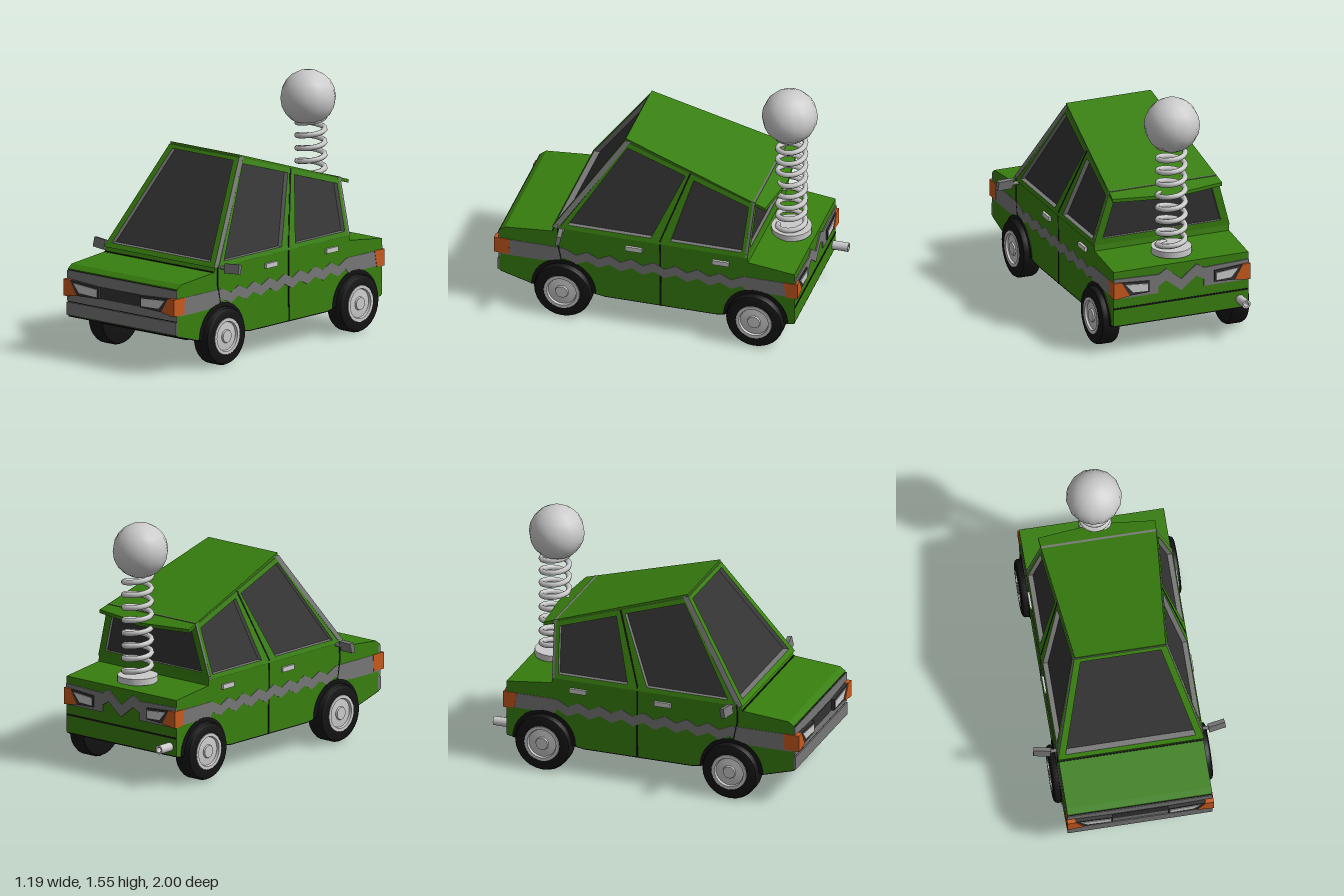
import * as THREE from 'three';
import { toCreasedNormals } from 'three/addons/utils/BufferGeometryUtils.js';
import { ConvexGeometry } from 'three/addons/geometries/ConvexGeometry.js';

const mat = (color) => new THREE.MeshStandardMaterial({ color });
const green = mat(0x387f0f), grey = mat(0x777777), glass = mat(0x333333);
const black = mat(0x141414), orange = mat(0xc85a1e), light = mat(0xcccccc);

export function createModel() {
  const car = new THREE.Group();
  car.name = 'car';

  function add(name, geo, material, x = 0, y = 0, z = 0) {
    const mesh = new THREE.Mesh(geo, material);
    mesh.name = name;
    mesh.position.set(x, y, z);
    car.add(mesh);
    return mesh;
  }
  const box = (name, m, w, h, d, x, y, z) => add(name, new THREE.BoxGeometry(w, h, d), m, x, y, z);
  const toShape = (pts) => new THREE.Shape(pts.map((p) => new THREE.Vector2(p[0], p[1])));

  // Flat outline with holes, given a thickness along +z
  function slab(outline, depth, holes = []) {
    const shape = outline instanceof THREE.Shape ? outline : toShape(outline);
    shape.holes = holes.map(toShape);
    return new THREE.ExtrudeGeometry(shape, { depth, bevelEnabled: false, curveSegments: 12 });
  }
  // Moves every vertex by a rule, then refreshes the normals
  function bend(geo, rule) {
    const p = geo.attributes.position, v = new THREE.Vector3();
    for (let i = 0; i < p.count; i++) {
      rule(v.fromBufferAttribute(p, i));
      p.setXYZ(i, v.x, v.y, v.z);
    }
    geo.computeVertexNormals();
    return geo;
  }
  // Side part drawn in (z, y), reaching from x0 outwards on both sides; lean follows the cabin wall
  function sides(name, outline, x0, t, m, holes = [], lean = 0) {
    for (const s of [1, -1]) {
      const geo = slab(outline, t, holes).rotateY(-Math.PI / 2).translate(s > 0 ? x0 + t : -x0, 0, 0);
      add(name, bend(geo, (v) => { v.x -= s * lean * (v.y - 0.63); }), m);
    }
  }
  // Mirrored left and right part drawn in (x, y) and placed at z
  function ends(name, outline, z, t, m) {
    for (const s of [1, -1])
      add(name, slab(outline.map(([x, y]) => [s * x, y]), t), m, 0, 0, z);
  }

  // Lower body with wheel arches
  const axles = [0.56, -0.655], W = 0.445, LEAN = 0.28;
  const body = new THREE.Shape();
  body.moveTo(0.965, 0.24);
  [[0.965, 0.53], [0.93, 0.555], [0.63, 0.58], [0.607, 0.63], [-0.6, 0.63], [-0.607, 0.575],
    [-0.9, 0.54], [-0.9, 0.19], [-0.85, 0.18]].forEach(([z, y]) => body.lineTo(z, y));
  body.absarc(axles[1], 0.18, 0.195, Math.PI, 0, true);
  body.lineTo(-0.4, 0.17);
  body.lineTo(0.3, 0.17);
  body.absarc(axles[0], 0.18, 0.195, Math.PI, 0, true);
  const bodyGeo = slab(body, 2 * W).rotateY(-Math.PI / 2).translate(W, 0, 0);
  add('body', bodyGeo, green);
  const under = add('underbody', bodyGeo, black, 0, -0.008, 0);
  under.scale.set(0.99, 1, 0.997);
  for (const z of axles) {
    box('innerWell', black, 0.7, 0.2, 0.42, 0, 0.27, z);
    const arch = new THREE.Shape();
    arch.absarc(z, 0.18, 0.205, 0, Math.PI, false);
    sides('wheelArch', arch, 0.34, 0.109, black);
  }

  // Cabin walls with window openings
  const frames = [green, grey];
  const frontWindow = [[0.535, 0.638], [0.2, 1.165], [-0.175, 1.05], [0.01, 0.638]];
  const rearWindow = [[-0.115, 0.638], [-0.23, 1.03], [-0.585, 0.92], [-0.565, 0.638]];
  sides('cabinSide', [[0.59, 0.61], [0.19, 1.195], [-0.61, 0.945], [-0.588, 0.61]],
    W - 0.035, 0.035, frames, [frontWindow, rearWindow], LEAN);
  const wind = slab([[-0.45, 0.61], [0.45, 0.61], [0.284, 1.205], [-0.284, 1.205]], 0.04,
    [[[-0.4, 0.638], [0.4, 0.638], [0.248, 1.185], [-0.248, 1.185]]]);
  add('windshieldFrame', bend(wind, (v) => { v.z += 0.58 - 0.695 * (v.y - 0.63); }), frames);
  const back = slab([[-0.45, 0.61], [0.45, 0.61], [0.354, 0.955], [-0.354, 0.955]], 0.025,
    [[[-0.39, 0.65], [0.39, 0.65], [0.315, 0.915], [-0.315, 0.915]]]);
  add('rearWindowFrame', bend(back, (v) => { v.z -= 0.605 + 0.06 * (v.y - 0.63); }), frames);

  // Dark glass block inside the frames
  const corners = [];
  for (const s of [1, -1])
    for (const [z, y] of [[0.59, 0.62], [0.19, 1.195], [-0.607, 0.94], [-0.585, 0.62]])
      corners.push(new THREE.Vector3(s * (W - 0.03 - LEAN * (y - 0.63)), y, z));
  add('windows', new ConvexGeometry(corners), glass);

  // Sloping roof with rear overhang
  const roof = slab([[-0.28, 0.215], [0.28, 0.215], [0.362, -0.69], [0, -0.73], [-0.362, -0.69]], 0.022);
  roof.rotateX(Math.PI / 2);
  add('roof', bend(roof, (v) => { v.y += 1.22 - 0.3226 * (0.21 - v.z); }), green);

  // Door gaps and handles
  sides('doorGap', [[-0.06, 0.165], [-0.048, 0.165], [-0.045, 0.63], [-0.055, 0.63]], W - 0.005, 0.007, black);
  sides('pillarGap', [[-0.055, 0.63], [-0.045, 0.63], [-0.2, 1.07], [-0.212, 1.07]], W - 0.005, 0.007, black, [], LEAN);
  sides('frontDoorGap', [[0.57, 0.385], [0.578, 0.385], [0.602, 0.5], [0.6, 0.62], [0.592, 0.62], [0.594, 0.5]],
    W - 0.005, 0.009, black);
  for (const z of [0.115, -0.435])
    for (const s of [1, -1]) box('doorHandle', light, 0.02, 0.03, 0.105, s * 0.45, 0.545, z);

  // Zigzag side stripe
  const top = [], bottom = [];
  for (let i = 0; i <= 16; i++) {
    const z = 0.55 - i * 0.07, y = i % 2 ? 0.4 : 0.435;
    top.push([z, y + 0.032]);
    bottom.unshift([z, y - 0.032]);
  }
  sides('sideStripe', [[0.95, 0.47], [0.6, 0.47], ...top, [-0.59, 0.47], [-0.86, 0.47], [-0.86, 0.375],
    [-0.59, 0.375], ...bottom, [0.6, 0.375], [0.7, 0.36], [0.95, 0.36]], W - 0.004, 0.007, grey);

  // Front: grille, bumper, lamps
  box('frontPanel', grey, 0.89, 0.19, 0.02, 0, 0.427, 0.963);
  box('bumperGap', black, 0.885, 0.02, 0.02, 0, 0.329, 0.958);
  box('frontBumper', grey, 0.89, 0.08, 0.03, 0, 0.285, 0.962);
  box('grille', glass, 0.36, 0.075, 0.012, 0, 0.42, 0.97);
  box('hoodGap', black, 0.88, 0.006, 0.01, 0, 0.522, 0.964);
  box('cowlGap', black, 0.88, 0.008, 0.01, 0, 0.581, 0.63);
  const lampFrame = [[0.17, 0.385], [0.345, 0.38], [0.405, 0.47], [0.17, 0.457]];
  const lamp = [[0.18, 0.395], [0.325, 0.4], [0.372, 0.455], [0.18, 0.442]];
  const corner = [[0.345, 0.38], [0.449, 0.368], [0.449, 0.472], [0.4, 0.472]];
  ends('headlightFrame', lampFrame, 0.95, 0.045, glass);
  ends('headlight', lamp, 0.96, 0.039, light);
  ends('frontIndicator', corner, 0.95, 0.05, orange);
  sides('frontIndicatorSide', [[0.905, 0.368], [1, 0.368], [1, 0.472], [0.9, 0.472]], W - 0.035, 0.04, orange);

  // Rear: band with a centre zigzag, lamps, bumper line
  const zig = [[-0.15, 0], [-0.1, 0.03], [-0.05, -0.01], [0, -0.05], [0.05, -0.01], [0.1, 0.03], [0.15, 0]];
  add('rearBand', slab([[-0.445, 0.365], [-0.15, 0.365], ...zig.map(([x, y]) => [x, 0.41 + y]),
    [0.15, 0.365], [0.445, 0.365], [0.445, 0.495],
    ...zig.map(([x, y]) => [x, 0.485 + y]).reverse(), [-0.445, 0.495]], 0.01), grey, 0, 0, -0.907);
  box('rearBumperGap', black, 0.885, 0.01, 0.01, 0, 0.3, -0.899);
  const shift = (pts) => pts.map(([x, y]) => [x < 0.3 ? x + 0.045 : x, y]);
  ends('tailLightFrame', shift(lampFrame), -0.915, 0.03, glass);
  ends('tailLight', shift(lamp), -0.92, 0.03, light);
  ends('rearIndicator', corner, -0.92, 0.03, orange);
  sides('rearIndicatorSide', [[-0.92, 0.37], [-0.85, 0.37], [-0.83, 0.472], [-0.92, 0.472]], W - 0.035, 0.04, orange);

  // Exhaust pipe
  const pipe = [[0.017, -0.1], [0.028, -0.1], [0.028, 0.1], [0.017, 0.1], [0.017, -0.1]];
  const lathe = (pts, n) => toCreasedNormals(
    new THREE.LatheGeometry(pts.map((p) => new THREE.Vector2(p[0], p[1])), n), 0.6);
  add('exhaust', lathe(pipe, 12).rotateX(Math.PI / 2), light, -0.39, 0.24, -0.9);

  // Wheels
  const tyre = lathe([[0, -0.062], [0.155, -0.062], [0.172, -0.055], [0.18, -0.04], [0.18, 0.04],
    [0.172, 0.055], [0.155, 0.062], [0.115, 0.062], [0.11, 0.04]], 28).rotateZ(-Math.PI / 2);
  const rim = lathe([[0.116, 0.04], [0.113, 0.064], [0.093, 0.064], [0.088, 0.05], [0.042, 0.054],
    [0.038, 0.064], [0, 0.064]], 28).rotateZ(-Math.PI / 2);
  for (const z of axles)
    for (const s of [1, -1]) {
      const turn = s > 0 ? 0 : Math.PI;
      add('tyre', tyre, black, s * 0.428, 0.18, z).rotation.y = turn;
      add('rim', rim, light, s * 0.428, 0.18, z).rotation.y = turn;
    }

  // Door mirrors
  for (const s of [1, -1]) {
    const arm = add('mirrorArm', new THREE.CylinderGeometry(0.012, 0.012, 0.07, 8), grey, s * 0.46, 0.603, 0.565);
    arm.rotation.z = Math.PI / 2;
    box('mirror', grey, 0.105, 0.06, 0.028, s * 0.537, 0.606, 0.562).rotation.set(-0.2, s * 0.15, s * 0.07);
  }

  // Ball on a coil spring over the trunk
  class Helix extends THREE.Curve {
    getPoint(t, target = new THREE.Vector3()) {
      const a = t * 8.5 * Math.PI * 2;
      return target.set(0.085 * Math.sin(a), 0.59 + 0.68 * t, 0.085 * Math.cos(a));
    }
  }
  add('spring', new THREE.TubeGeometry(new Helix(), 170, 0.017, 7), light, 0, 0, -0.752);
  add('springBase', new THREE.CylinderGeometry(0.125, 0.125, 0.04, 20), light, 0, 0.578, -0.752);
  add('ball', new THREE.SphereGeometry(0.171, 14, 10), light, -0.01, 1.377, -0.738);

  return car;
}
